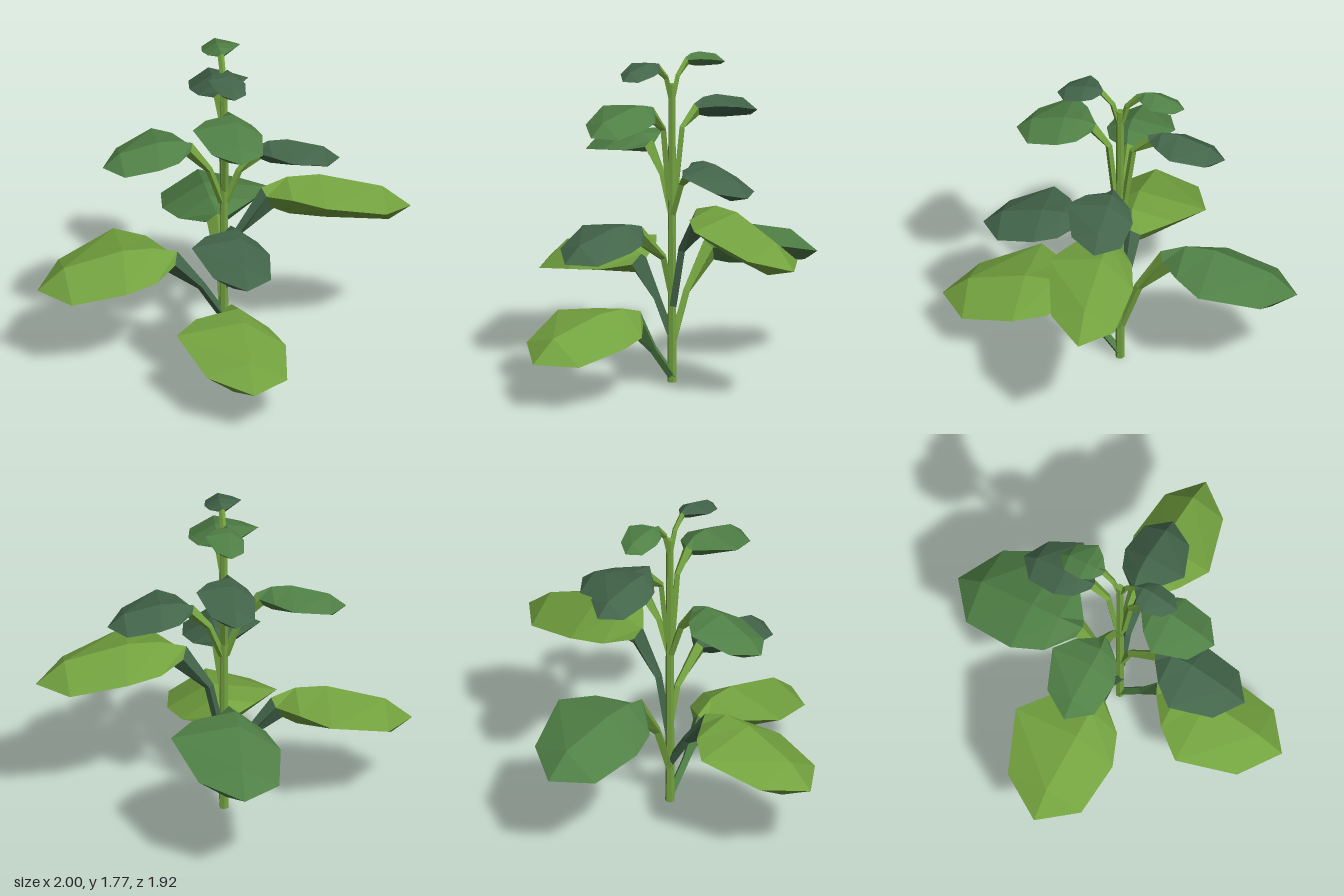
import * as THREE from 'three';

const mat = (name, color) => {
  const m = new THREE.MeshStandardMaterial({ color, flatShading: true });
  m.name = name;
  return m;
};

// Closed skin over four-cornered rings (left, ridge, right, keel)
function loft(rings) {
  const pos = [];
  const tri = (...p) => p.forEach((v) => pos.push(...v));
  for (let i = 0; i < rings.length - 1; i++) {
    for (let j = 0; j < 4; j++) {
      const k = (j + 1) % 4;
      const [a, b, c, d] = [rings[i][j], rings[i + 1][j], rings[i + 1][k], rings[i][k]];
      tri(a, b, c);
      tri(a, c, d);
    }
  }
  const s = rings[0], e = rings[rings.length - 1];
  tri(s[0], s[1], s[2]);
  tri(s[0], s[2], s[3]);
  tri(e[0], e[2], e[1]);
  tri(e[0], e[3], e[2]);
  const g = new THREE.BufferGeometry();
  g.setAttribute('position', new THREE.Float32BufferAttribute(pos, 3));
  g.computeVertexNormals();
  return g;
}

// Thick leaf rolled to one side; heights are relative to the tip
const LEAF = [
  [[-0.05, 0.13, 0.02], [0, 0.165, 0], [0.05, 0.11, 0.02], [-0.01, 0.05, 0.06]],
  [[-0.21, 0.16, 0.13], [0.02, 0.205, 0.13], [0.18, 0.08, 0.14], [-0.05, 0.03, 0.13]],
  [[-0.34, 0.15, 0.28], [0.02, 0.205, 0.29], [0.24, 0.06, 0.31], [-0.06, 0, 0.3]],
  [[-0.23, 0.05, 0.59], [0, 0.12, 0.6], [0.2, 0, 0.59], [-0.09, -0.03, 0.62]],
  [[0, 0, 0.74], [0, 0, 0.74], [0, 0, 0.74], [0, 0, 0.74]],
];

// Stalk path points are [outward, up]
function makeLeaf(name, { turn, from, to, tipY, width = 1, leaf, stalk, path }) {
  const group = new THREE.Group();
  group.name = name;
  const s = (to - from) / 0.74;
  const rings = LEAF.map((ring) =>
    ring.map(([x, y, z]) => [x * s * width, tipY + y * s, from + z * s]));
  const blade = new THREE.Mesh(loft(rings), leaf);
  blade.name = 'leafBlade';

  const r = 0.012 + 0.012 * s;
  const pts = [...path, [from + 0.02 * s, tipY + 0.11 * s]];
  const stalkRings = path.map(([z, y], i) => {
    const p = pts[Math.max(i - 1, 0)], n = pts[i + 1];
    const len = Math.hypot(n[0] - p[0], n[1] - p[1]);
    const nz = (-(n[1] - p[1]) / len) * r, ny = ((n[0] - p[0]) / len) * r;
    return [[-r, y, z], [0, y + ny, z + nz], [r, y, z], [0, y - ny, z - nz]];
  });
  const stem = new THREE.Mesh(loft([...stalkRings, rings[0]]), stalk);
  stem.name = 'leafStalk';

  group.add(blade, stem);
  group.rotation.y = turn * Math.PI / 2;
  return group;
}

export function createModel() {
  const bright = mat('brightGreen', 0x73a23f);
  const mid = mat('midGreen', 0x508046);
  const dark = mat('blueGreen', 0x43654a);
  const plant = new THREE.Group();
  plant.name = 'plant';

  // Main stem
  const stem = new THREE.Mesh(new THREE.CylinderGeometry(0.02, 0.025, 1.63, 6), bright);
  stem.name = 'mainStem';
  stem.position.y = 0.815;
  plant.add(stem);

  // Leaves: turn 0 front, 1 left, 2 back, 3 right
  const leaves = {
    lowFrontLeaf: { turn: 0, from: 0.22, to: 0.96, tipY: 0.26, leaf: bright, stalk: mid,
      path: [[0, 0.03], [0.13, 0.2]] },
    lowRightLeaf: { turn: 3, from: 0.25, to: 1, tipY: 0.48, leaf: bright, stalk: dark,
      path: [[0, 0.24], [0.12, 0.43]] },
    lowBackLeaf: { turn: 2, from: 0.22, to: 0.96, tipY: 0.57, leaf: mid, stalk: bright,
      path: [[0, 0.2], [0.1, 0.48]] },
    lowLeftLeaf: { turn: 1, from: 0.2, to: 1, tipY: 0.81, width: 0.74, leaf: bright, stalk: dark,
      path: [[0.01, 0.42], [0.08, 0.74]] },
    middleFrontLeaf: { turn: 0, from: 0.21, to: 0.74, tipY: 0.77, leaf: dark, stalk: bright,
      path: [[0.01, 0.5], [0.06, 0.69]] },
    middleRightLeaf: { turn: 3, from: 0.17, to: 0.65, tipY: 1.18, leaf: mid, stalk: bright,
      path: [[0.01, 0.92], [0.08, 1.12]] },
    middleLeftLeaf: { turn: 1, from: 0.16, to: 0.62, tipY: 1.13, leaf: dark, stalk: bright,
      path: [[0.01, 0.92], [0.08, 1.1]] },
    highFrontLeaf: { turn: 0, from: 0.13, to: 0.56, tipY: 1.43, width: 1.1, leaf: mid, stalk: bright,
      path: [[0.02, 1], [0.06, 1.39]] },
    highBackLeaf: { turn: 2, from: 0.15, to: 0.57, tipY: 1.4, width: 0.95, leaf: dark, stalk: bright,
      path: [[0.02, 1], [0.07, 1.38]] },
    topFrontLeaf: { turn: 0, from: 0.09, to: 0.34, tipY: 1.7, leaf: dark, stalk: bright,
      path: [[0.01, 1.56], [0.04, 1.67]] },
    topBackLeaf: { turn: 2, from: 0.09, to: 0.35, tipY: 1.7, leaf: mid, stalk: bright,
      path: [[0.01, 1.56], [0.04, 1.67]] },
  };
  for (const [name, spec] of Object.entries(leaves)) plant.add(makeLeaf(name, spec));
  return plant;
}
